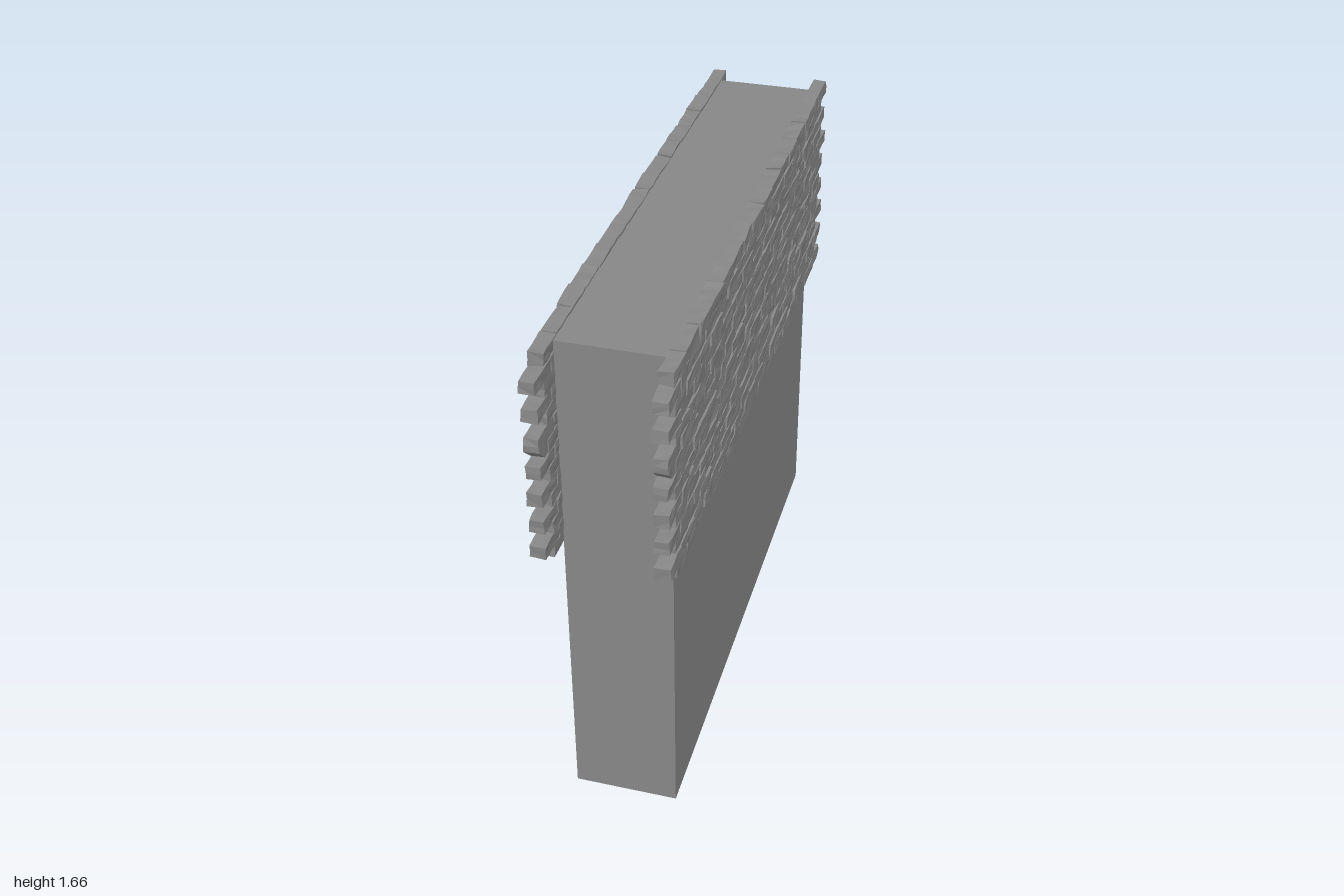
import * as THREE from 'three';
import { mergeGeometries } from 'three/addons/utils/BufferGeometryUtils.js';

const ROWS = 15, PER_ROW = 16;
const BASE = 0.972, ROW_H = 0.0455, LENGTH = 0.1204;
const INNER = 0.155, OUTER = 0.201;

// Small seeded generator, returns -1..1
function makeJitter(seed) {
  return () => {
    seed = (seed * 16807) % 2147483647;
    return (seed / 2147483647) * 2 - 1;
  };
}

// Rough-hewn brick: a subdivided box whose shared points are nudged together
function makeBrick(z0, z1, y0, y1, jitter, skewed) {
  const depth = OUTER - INNER + jitter() * 0.003;
  const g = new THREE.BoxGeometry(depth, y1 - y0, z1 - z0, 1, 2, 3);
  const p = g.attributes.position;
  const nudges = new Map();
  const yaw = jitter() * 0.03, roll = jitter() * 0.018;
  for (let i = 0; i < p.count; i++) {
    const x = p.getX(i), y = p.getY(i), z = p.getZ(i);
    const key = [x, y, z].map((v) => Math.round(v * 1e4)).join();
    if (!nudges.has(key)) nudges.set(key, [jitter() * 0.002, jitter() * 0.0025, jitter() * 0.003]);
    const n = nudges.get(key);
    // The skewed brick's underside slopes down from its ends
    const drop = skewed && y < -0.01 ? 0.06 * (1 - 2 * Math.abs(z / (z1 - z0))) : 0;
    p.setXYZ(i, x + n[0] + yaw * z, y + n[1] + roll * z - drop, z + n[2]);
  }
  g.translate(INNER + depth / 2, (y0 + y1) / 2, (z0 + z1) / 2);
  return g;
}

// One course of bricks; alternate courses are shifted by half a brick
function makeCourse(row, jitter) {
  const start = row % 2 ? -0.928 : -0.995;
  const joints = [];
  for (let i = 0; i <= PER_ROW; i++) {
    const inside = i > 0 && i < PER_ROW;
    joints.push(start + i * LENGTH + (inside ? jitter() * 0.012 : 0));
  }
  const bricks = [];
  for (let i = 0; i < PER_ROW; i++) {
    const y = BASE + row * ROW_H;
    const skewed = row === 9 && i === PER_ROW - 1;
    bricks.push(makeBrick(joints[i] + 0.002, joints[i + 1] - 0.002,
      y + 0.002 + jitter() * 0.002, y + ROW_H - 0.002 + jitter() * 0.002, jitter, skewed));
  }
  return mergeGeometries(bricks);
}

// Mirror across x and restore the winding
function mirrorX(source) {
  const g = source.clone().scale(-1, 1, 1);
  const idx = g.index;
  for (let i = 0; i < idx.count; i += 3) {
    const a = idx.getX(i);
    idx.setX(i, idx.getX(i + 1));
    idx.setX(i + 1, a);
  }
  return g;
}

function flat(g) {
  const out = g.toNonIndexed();
  out.computeVertexNormals();
  return out;
}

export function createModel() {
  const model = new THREE.Group();
  model.name = 'brickFacedWall';
  const material = new THREE.MeshStandardMaterial({ color: 0x878787, flatShading: true });

  // Plain slab inside the facing
  const core = new THREE.Mesh(new THREE.BoxGeometry(0.325, 1.645, 1.77), material);
  core.name = 'wallCore';
  core.position.set(0.005, 0.8225, -0.037);
  model.add(core);

  // Brick facing on both long sides
  const left = new THREE.Group(), right = new THREE.Group();
  left.name = 'leftBrickFacing';
  right.name = 'rightBrickFacing';
  const jitter = makeJitter(4711);
  for (let row = 0; row < ROWS; row++) {
    const course = makeCourse(row, jitter);
    for (const [group, g] of [[left, course], [right, mirrorX(course)]]) {
      const mesh = new THREE.Mesh(flat(g), material);
      mesh.name = `brickCourse${row + 1}`;
      group.add(mesh);
    }
  }
  model.add(left, right);
  return model;
}
